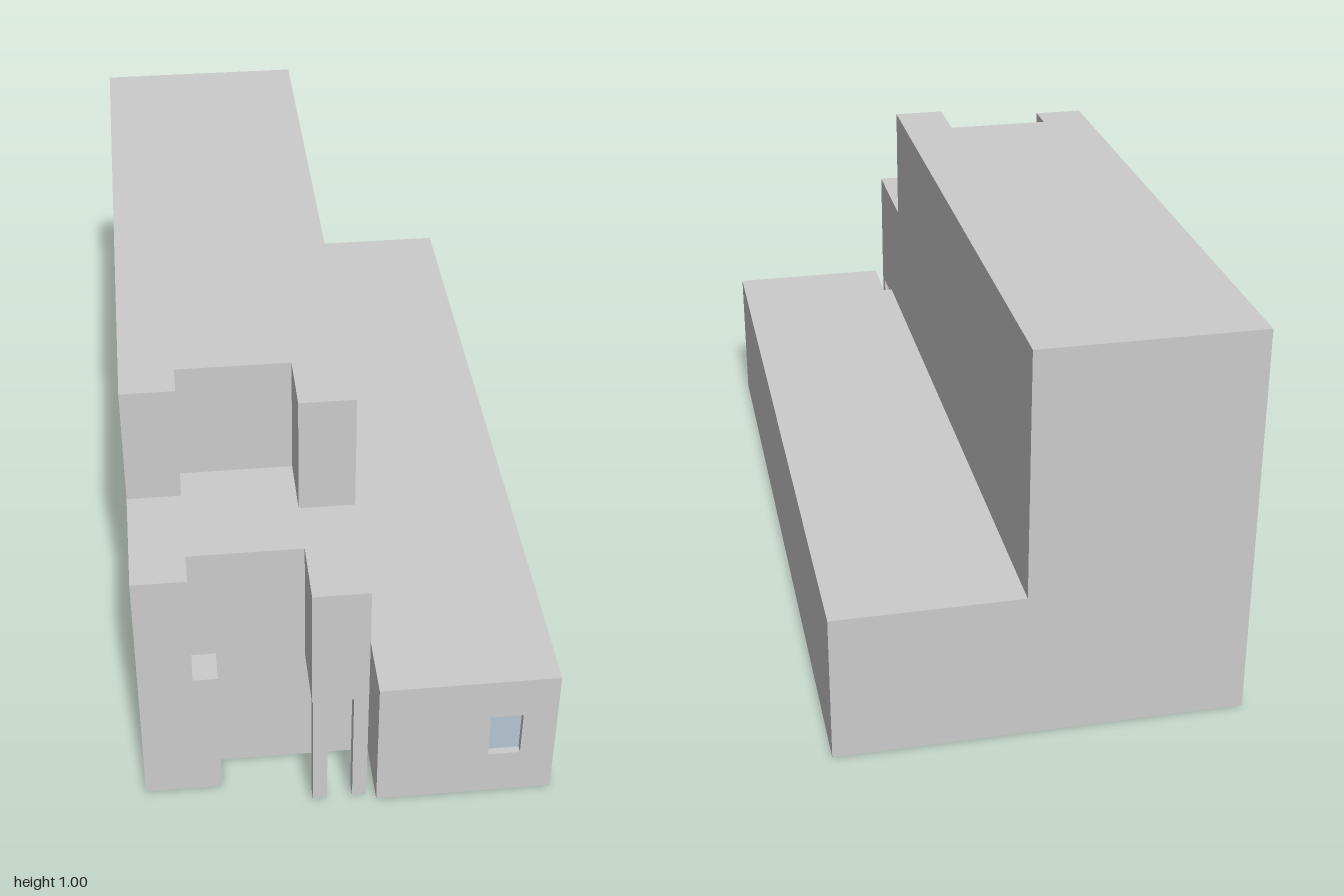
import * as THREE from 'three';

const grey = new THREE.MeshStandardMaterial({ color: 0xcccccc });
const glass = new THREE.MeshStandardMaterial({ color: 0xb4c6d2 });

function add(parent, name, geometry, material = grey) {
  const mesh = new THREE.Mesh(geometry, material);
  mesh.name = name;
  parent.add(mesh);
  return mesh;
}

function box(parent, name, x0, x1, y0, y1, z0, z1, material) {
  const mesh = add(parent, name, new THREE.BoxGeometry(x1 - x0, y1 - y0, z1 - z0), material);
  mesh.position.set((x0 + x1) / 2, (y0 + y1) / 2, (z0 + z1) / 2);
  return mesh;
}

const outline = pts => new THREE.Shape(pts.map(([x, y]) => new THREE.Vector2(x, y)));
const rect = (a0, a1, b0, b1) => [[a0, b0], [a1, b0], [a1, b1], [a0, b1]];
const extrude = (shape, depth) => new THREE.ExtrudeGeometry(shape, { depth, bevelEnabled: false });

function cut(shape, openings) {
  for (const o of openings) shape.holes.push(outline(rect(...o)));
  return shape;
}

// Storey: plan outline given as [x, z], raised from y0 to y1
function storey(parent, name, plan, y0, y1) {
  const geo = extrude(outline(plan.map(([x, z]) => [x, -z])), y1 - y0);
  add(parent, name, geo.rotateX(-Math.PI / 2).translate(0, y0, 0));
}

// Framed pane in an opening a0..a1 by b0..b1, facing local +z with the wall at z = 0
function glazing(name, [a0, a1, b0, b1]) {
  const g = new THREE.Group();
  g.name = name;
  const f = 0.007;
  const ring = cut(outline(rect(a0, a1, b0, b1)), [[a0 + f, a1 - f, b0 + f, b1 - f]]);
  add(g, 'frame', extrude(ring, 0.022).translate(0, 0, -0.02));
  box(g, 'pane', a0 + f, a1 - f, b0 + f, b1 - f, -0.022, -0.016, glass);
  if (a1 - a0 > b1 - b0) {
    const m = (a0 + a1) / 2;
    box(g, 'mullion', m - 0.003, m + 0.003, b0 + f, b1 - f, -0.018, -0.008);
  }
  if (name === 'door') {
    const h = add(g, 'handle', new THREE.SphereGeometry(0.005, 12, 8));
    h.position.set(a1 - 0.02, (b0 + b1) / 2, -0.012);
  }
  return g;
}

export function createModel() {
  const model = new THREE.Group();
  const skin = -0.45; // inner plane of the side wall

  // Stepped storeys
  storey(model, 'groundFloor', [
    [skin, -1], [0.5, -1], [0.5, 0.97], [0.065, 0.97], [0.065, 0.835],
    [-0.31, 0.835], [-0.31, 0.92], [skin, 0.92]], 0, 0.375);
  storey(model, 'middleFloor', [
    [skin, -1], [0.04, -1], [0.04, 1], [-0.095, 1], [-0.095, 0.835], [-0.37, 0.835],
    [-0.37, 0.92], [skin, 0.92], [skin, 0.46], [-0.28, 0.46], [-0.28, 0.3], [skin, 0.3]], 0.375, 0.69);
  storey(model, 'topFloor', [
    [skin, -1], [0.04, -1], [0.04, 0.69], [-0.095, 0.69], [-0.095, 0.53],
    [-0.37, 0.53], [-0.37, 0.615], [skin, 0.615]], 0.69, 1);

  // Porch: beam and two columns under the overhang
  box(model, 'porchBeam', -0.095, 0.04, 0.355, 0.375, 0.835, 1);
  for (const x of [-0.0925, 0.0045]) {
    box(model, 'porchColumn', x, x + 0.035, 0.02, 0.355, 0.965, 1);
  }

  // Side wall; openings as [z0, z1, y0, y1]
  const windows = [
    [-0.37, -0.2, 0.098, 0.187], [0.08, 0.255, 0.098, 0.187], [0.58, 0.685, 0.12, 0.265],
    [0.63, 0.735, 0.478, 0.623], [-0.3, -0.13, 0.765, 0.85], [0.3, 0.405, 0.787, 0.932]];
  const door = [-0.985, -0.88, 0.02, 0.25];
  const balcony = [-0.455, 0.46, 0.395, 0.67];
  const side = cut(outline([[-1, 0], [0.92, 0], [0.92, 0.69], [0.615, 0.69], [0.615, 1], [-1, 1]]),
    [...windows, door, balcony]);
  add(model, 'sideWall', extrude(side, 0.05).rotateY(-Math.PI / 2).translate(skin, 0, 0));

  const sideGlazing = (name, opening, x) => {
    const g = glazing(name, opening);
    g.rotation.y = -Math.PI / 2;
    g.position.x = x;
    model.add(g);
  };
  windows.forEach(w => sideGlazing('window', w, -0.5));
  sideGlazing('door', door, -0.5);

  // Balcony: parapet, raised alcove floor, glazing on the inner wall
  box(model, 'balconyParapet', -0.5, -0.485, 0.395, 0.49, -0.455, 0.46);
  box(model, 'alcoveFloor', -0.485, -0.28, 0.375, 0.49, 0.3, 0.46);
  sideGlazing('door', [-0.21, -0.09, 0.395, 0.625], skin - 0.022);
  sideGlazing('window', [-0.43, -0.33, 0.478, 0.61], skin - 0.022);

  // Front wall of the low wing with its window
  const frontWindow = [0.33, 0.423, 0.122, 0.265];
  const front = cut(outline(rect(0.065, 0.5, 0, 0.375)), [frontWindow]);
  add(model, 'wingFrontWall', extrude(front, 0.03).translate(0, 0, 0.97));
  const g = glazing('window', frontWindow);
  g.position.z = 0.998;
  model.add(g);

  return model;
}
